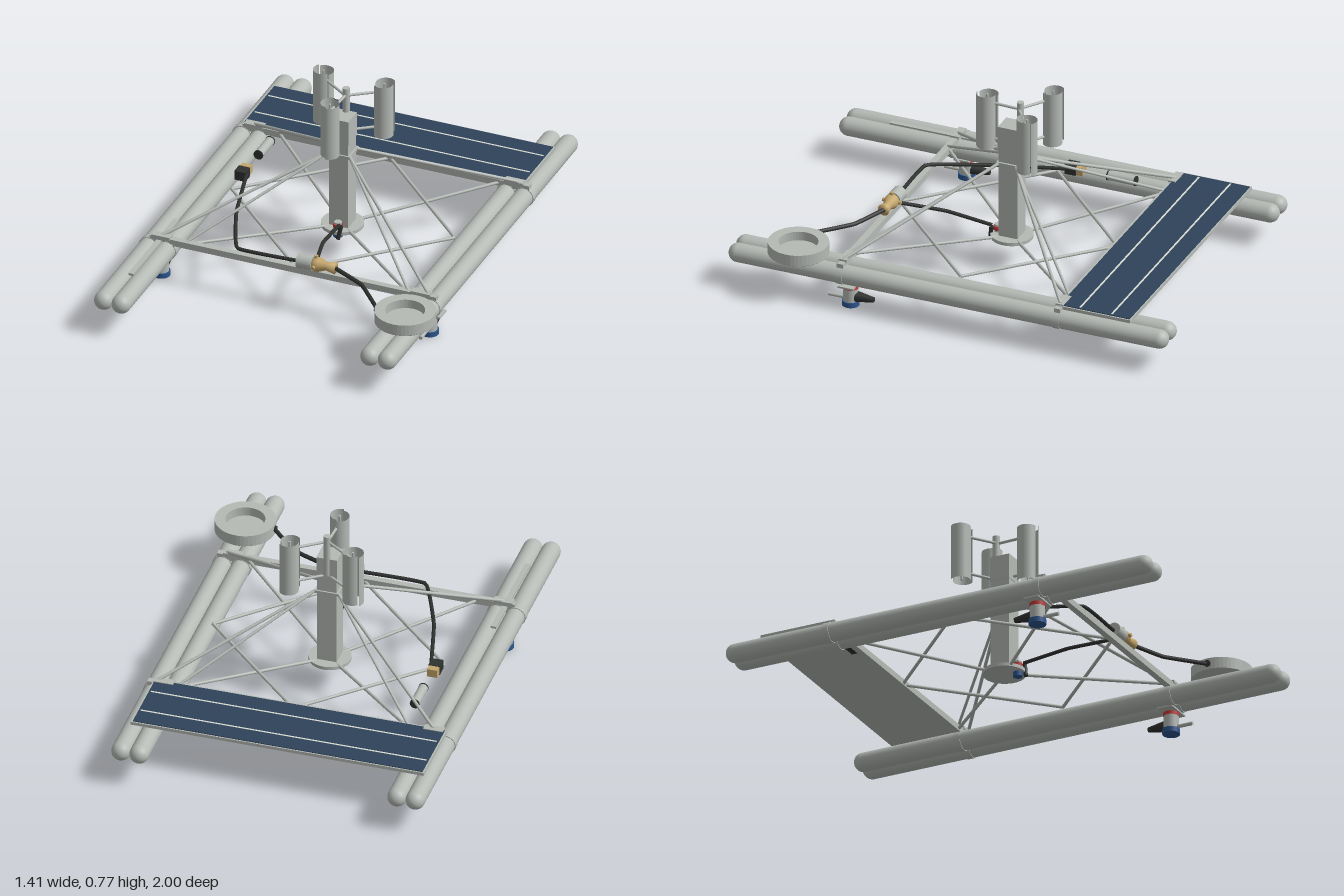
import * as THREE from 'three';

const mat = (name, color, extra = {}) => {
  const m = new THREE.MeshStandardMaterial({ color, ...extra });
  m.name = name;
  return m;
};

export function createModel() {
  const model = new THREE.Group();
  const grey = mat('light grey', 0xb5bab5);
  const shell = mat('shell grey', 0xb5bab5, { side: THREE.DoubleSide });
  const navy = mat('solar navy', 0x2f435a);
  const pale = mat('pale line', 0xd8dcd2);
  const black = mat('black rubber', 0x2f312f);
  const red = mat('red', 0xc23a36);
  const blue = mat('blue', 0x2c568f);
  const tan = mat('brass tan', 0xc4a66c);
  const V = (x, y, z) => new THREE.Vector3(x, y, z);

  const add = (name, geo, material, x = 0, y = 0, z = 0, parent = model) => {
    const m = new THREE.Mesh(geo, material);
    m.name = name;
    m.position.set(x, y, z);
    parent.add(m);
    return m;
  };
  const box = (name, w, h, d, material, x, y, z, parent) =>
    add(name, new THREE.BoxGeometry(w, h, d), material, x, y, z, parent);
  // Cylinder between two points
  const rod = (name, a, b, r, material = grey, r2 = r, seg = 12, parent = model) => {
    const d = b.clone().sub(a);
    const mid = a.clone().add(b).multiplyScalar(0.5);
    const m = add(name, new THREE.CylinderGeometry(r2, r, d.length(), seg), material, mid.x, mid.y, mid.z, parent);
    m.quaternion.setFromUnitVectors(V(0, 1, 0), d.normalize());
    return m;
  };
  const cable = (name, pts, r = 0.008) => {
    const curve = new THREE.CatmullRomCurve3(pts.map(p => V(...p)), false, 'catmullrom', 0.15);
    return add(name, new THREE.TubeGeometry(curve, 40, r, 8), black);
  };

  const FRONT = 0.47, BACK = -0.51, MX = -0.01, MZ = -0.03;

  // Twin hulls on each side, with clamp bands at the cross beams
  for (const [x, z] of [[-0.664, 0.004], [-0.585, 0.004], [0.528, -0.0125], [0.607, -0.0125]]) {
    const hull = add('floatTube', new THREE.CapsuleGeometry(0.041, 1.9, 10, 28), grey, x, 0.148, z);
    hull.rotation.x = Math.PI / 2;
    for (const bz of [FRONT, BACK])
      rod('clampBand', V(x, 0.148, bz - 0.015), V(x, 0.148, bz + 0.015), 0.044, grey, 0.044, 28);
  }
  box('hullRail', 0.024, 0.01, 0.48, grey, -0.617, 0.186, 0.54);

  // Cross beams with end brackets
  for (const z of [FRONT, BACK]) {
    box('crossBeam', 1.29, 0.028, 0.028, grey, -0.015, 0.19, z);
    for (const x of [-0.61, 0.56]) box('beamBracket', 0.085, 0.012, 0.035, grey, x, 0.206, z);
  }

  // Diamond deck bracing
  const diamond = [V(-0.505, 0.188, -0.02), V(0, 0.188, BACK), V(0.5, 0.188, -0.02), V(0, 0.188, FRONT)];
  diamond.forEach((p, i) => rod('diamondBrace', p, diamond[(i + 1) % 4], 0.007));

  // Mast stays: upper pairs and lower keel struts
  for (const sx of [-1, 1]) for (const z of [FRONT, BACK]) {
    const sz = Math.sign(z);
    const top = V(MX + sx * 0.05, 0.483, MZ + sz * 0.04);
    rod('upperStay', top, V(sx * 0.6 - 0.01, 0.208, z), 0.007);
    rod('upperStay', top, V(sx * 0.5, 0.2, z), 0.006);
    rod('lowerStrut', V(MX + sx * 0.04, 0.135, MZ + sz * 0.04), V(sx * 0.5, 0.19, z), 0.007);
  }

  // Central mast
  add('mastBase', new THREE.CylinderGeometry(0.09, 0.09, 0.015, 36), grey, MX, 0.134, MZ);
  box('mast', 0.086, 0.42, 0.086, grey, MX, 0.345, MZ);
  box('mastCollar', 0.104, 0.012, 0.1, grey, MX, 0.483, MZ);
  box('mastHead', 0.09, 0.11, 0.09, grey, MX, 0.598, MZ);
  rod('mastPost', V(MX, 0.57, -0.068), V(MX, 0.765, -0.068), 0.015);

  // Vertical rotors: two offset half shells each, held by two arms
  for (const [x, z] of [[-0.15, -0.157], [0.125, -0.157], [-0.018, 0.084]]) {
    const rotor = new THREE.Group();
    rotor.name = 'windRotor';
    rotor.position.set(x, 0.648, z);
    rotor.rotation.y = Math.atan2(x - MX, z - MZ);
    model.add(rotor);
    for (const s of [-1, 1])
      add('rotorShell', new THREE.CylinderGeometry(0.042, 0.042, 0.245, 20, 1, true, s > 0 ? 0 : Math.PI, Math.PI),
        shell, 0, 0, s * 0.005, rotor);
    rod('rotorShaft', V(0, -0.12, 0), V(0, 0.12, 0), 0.005, grey, 0.005, 10, rotor);
    for (const y of [0.732, 0.565]) rod('rotorArm', V(x, y, z), V(MX, y, -0.06), 0.006);
  }

  // Solar panel
  box('panelFrame', 1.27, 0.014, 0.327, grey, -0.029, 0.199, -0.667);
  box('solarCells', 1.256, 0.004, 0.315, navy, -0.029, 0.207, -0.667);
  for (const z of [-0.741, -0.598]) box('cellLine', 1.24, 0.003, 0.008, pale, -0.029, 0.2085, z);

  // Thrusters under the hulls
  for (const x of [-0.625, 0.585]) {
    const t = new THREE.Group();
    t.name = 'thruster';
    t.position.set(x, 0, 0.44);
    model.add(t);
    box('thrusterPlate', 0.12, 0.008, 0.07, grey, 0, 0.103, 0, t);
    for (const [n, y0, y1, r, m] of [['thrusterBody', 0.02, 0.08, 0.032, grey],
      ['thrusterBand', 0.08, 0.096, 0.033, red], ['thrusterFoot', 0, 0.022, 0.037, blue]])
      rod(n, V(0, y0, 0), V(0, y1, 0), r, m, r, 28, t);
    rod('thrusterNose', V(0, 0.03, 0.02), V(0, 0.03, 0.1), 0.008, grey, 0.008, 12, t);
    rod('thrusterCone', V(0, 0.042, -0.025), V(0, 0.042, -0.105), 0.024, black, 0.011, 20, t);
  }

  // Central probe on the mast base
  rod('probeBody', V(-0.005, 0.12, 0.03), V(-0.005, 0.175, 0.03), 0.016, grey, 0.016, 20);
  rod('probeBand', V(-0.005, 0.15, 0.03), V(-0.005, 0.166, 0.03), 0.02, red, 0.02, 20);
  rod('probeFoot', V(-0.005, 0.106, 0.03), V(-0.005, 0.127, 0.03), 0.02, blue, 0.02, 20);
  rod('probePlug', V(0.018, 0.17, 0.05), V(0.008, 0.11, 0.06), 0.009, black);

  // Round basin on the front left hull
  const basin = [[0, 0.188], [0.125, 0.188], [0.128, 0.191], [0.128, 0.24], [0.083, 0.24], [0.083, 0.2], [0, 0.2]];
  const flat = new THREE.LatheGeometry(basin.map(p => new THREE.Vector2(...p)), 48).toNonIndexed();
  flat.computeVertexNormals();
  add('basin', flat, grey, 0.576, 0, 0.68);
  rod('basinInlet', V(0.44, 0.215, 0.68), V(0.46, 0.215, 0.68), 0.014, black);

  // Pump and brass coupling on the front beam
  rod('pumpBody', V(0.004, 0.232, FRONT), V(0.072, 0.232, FRONT), 0.031, grey, 0.031, 24);
  const coupling = add('brassCoupling', new THREE.LatheGeometry(
    [[0, 0], [0.025, 0], [0.031, 0.012], [0.031, 0.03], [0.018, 0.062], [0.026, 0.102], [0, 0.104]]
      .map(p => new THREE.Vector2(...p)), 24), tan, 0.07, 0.232, FRONT);
  coupling.rotation.z = -Math.PI / 2;
  rod('couplingLug', V(0.086, 0.19, FRONT), V(0.086, 0.274, FRONT), 0.008, tan);
  rod('couplingLug', V(0.086, 0.232, FRONT - 0.042), V(0.086, 0.232, FRONT + 0.042), 0.008, tan);

  // Battery canister and valve box on the right side
  rod('canister', V(-0.487, 0.225, -0.38), V(-0.487, 0.225, -0.262), 0.02, grey, 0.02, 20);
  for (const z of [-0.386, -0.262])
    rod('canisterCap', V(-0.487, 0.225, z), V(-0.487, 0.225, z + 0.006), 0.021, black, 0.021, 20);
  box('valveBox', 0.05, 0.042, 0.05, black, -0.49, 0.224, -0.095);
  box('valveCap', 0.044, 0.036, 0.03, tan, -0.49, 0.224, -0.135);
  box('panelJunction', 0.06, 0.015, 0.03, black, -0.41, 0.184, -0.535);

  // Cables
  cable('valveCable', [[-0.485, 0.232, -0.13], [-0.46, 0.228, -0.06], [-0.39, 0.222, 0.2], [-0.27, 0.225, 0.47], [0.01, 0.228, 0.47]]);
  cable('mastCable', [[0.075, 0.225, 0.45], [0.022, 0.2, 0.25], [0.008, 0.17, 0.05]]);
  cable('basinCable', [[0.17, 0.232, 0.47], [0.32, 0.224, 0.54], [0.45, 0.215, 0.68]], 0.009);

  return model;
}
